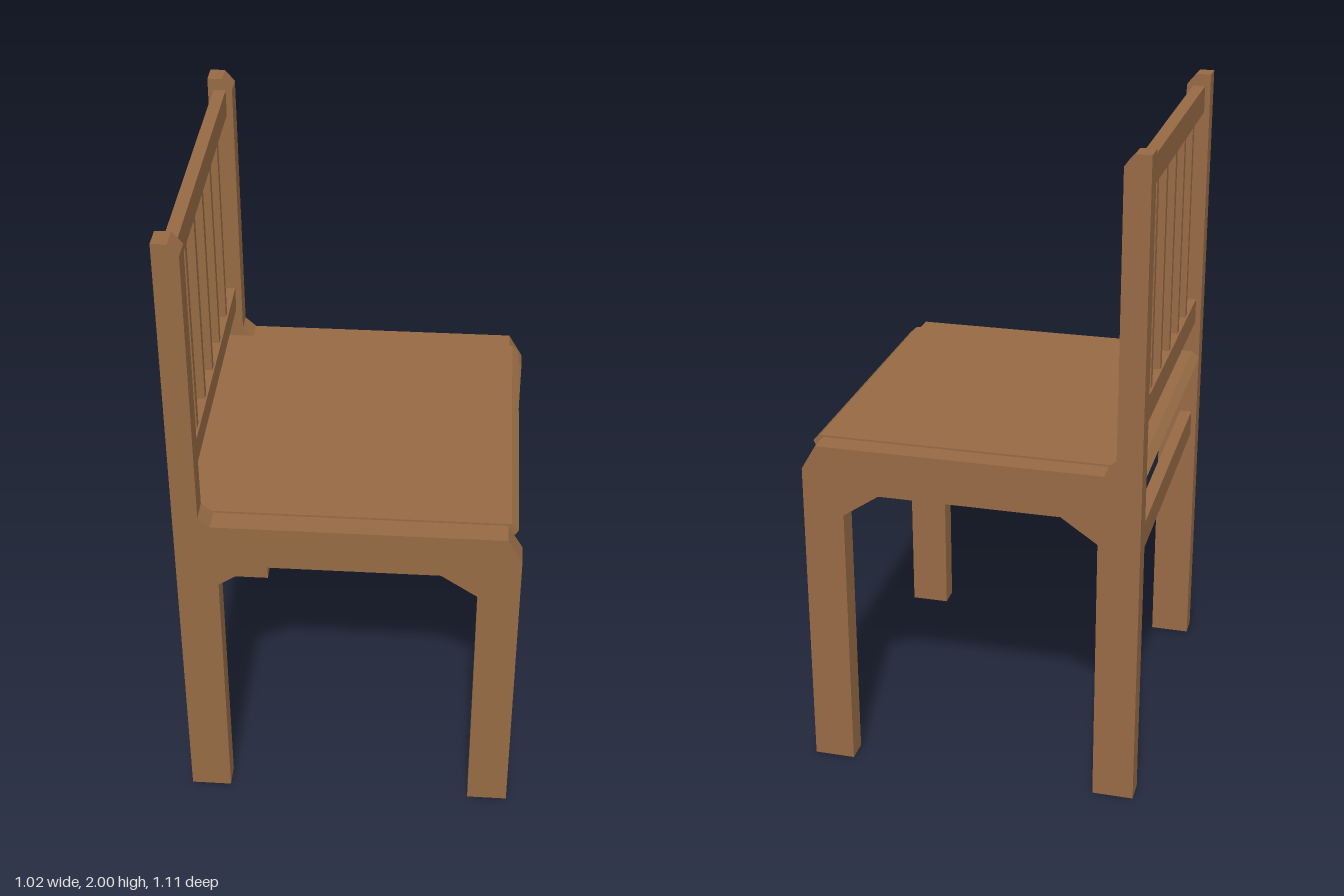
import * as THREE from 'three';

export function createModel() {
  const chair = new THREE.Group();
  chair.name = 'chair';
  const wood = new THREE.MeshStandardMaterial({ color: 0x966a44 });
  wood.name = 'brown wood';

  const add = (name, geometry) => {
    const mesh = new THREE.Mesh(geometry, wood);
    mesh.name = name;
    chair.add(mesh);
    return mesh;
  };

  // Side profile in x and y, extruded along z and centred on z
  const extrude = (name, points, depth, z = 0) => {
    const shape = new THREE.Shape(points.map(([x, y]) => new THREE.Vector2(x, y)));
    const geometry = new THREE.ExtrudeGeometry(shape, { depth, bevelEnabled: false });
    geometry.translate(0, 0, z - depth / 2);
    return add(name, geometry);
  };

  // Cross bar spanning the gap between the side frames
  const bar = (name, x0, x1, y0, y1, width = 0.97, z = 0) => {
    const mesh = add(name, new THREE.BoxGeometry(x1 - x0, y1 - y0, width));
    mesh.position.set((x0 + x1) / 2, (y0 + y1) / 2, z);
  };

  // Side frames: back post, seat rail and front leg in one piece
  const frame = [
    [-0.51, 0], [-0.385, 0], [-0.385, 0.85], [-0.275, 0.925], [0.275, 0.925],
    [0.385, 0.85], [0.385, 0], [0.51, 0], [0.51, 0.99], [0.465, 1.067],
    [-0.4, 1.067], [-0.435, 1.1], [-0.435, 1.965], [-0.465, 2], [-0.51, 2],
  ];
  extrude('leftSideFrame', frame, 0.07, 0.52);
  extrude('rightSideFrame', frame, 0.07, -0.52);

  // Seat panel with chamfered front and back lips
  extrude('seat', [
    [-0.503, 1.035], [0.488, 1.035], [0.497, 1.052], [0.475, 1.072],
    [-0.488, 1.072], [-0.512, 1.052],
  ], 0.966);

  // Aprons under the seat
  bar('frontApron', 0.43, 0.47, 0.99, 1.036);
  bar('backApron', -0.49, -0.455, 0.99, 1.036);

  // Back rails and lower stretcher
  bar('topRail', -0.493, -0.455, 1.88, 1.963);
  bar('lowerRail', -0.493, -0.455, 1.175, 1.255);
  bar('backStretcher', -0.493, -0.455, 0.77, 0.853);

  // Upright slats
  for (let i = -2; i <= 2; i++) bar('backSlat', -0.487, -0.461, 1.25, 1.885, 0.027, i * 0.157);

  return chair;
}
